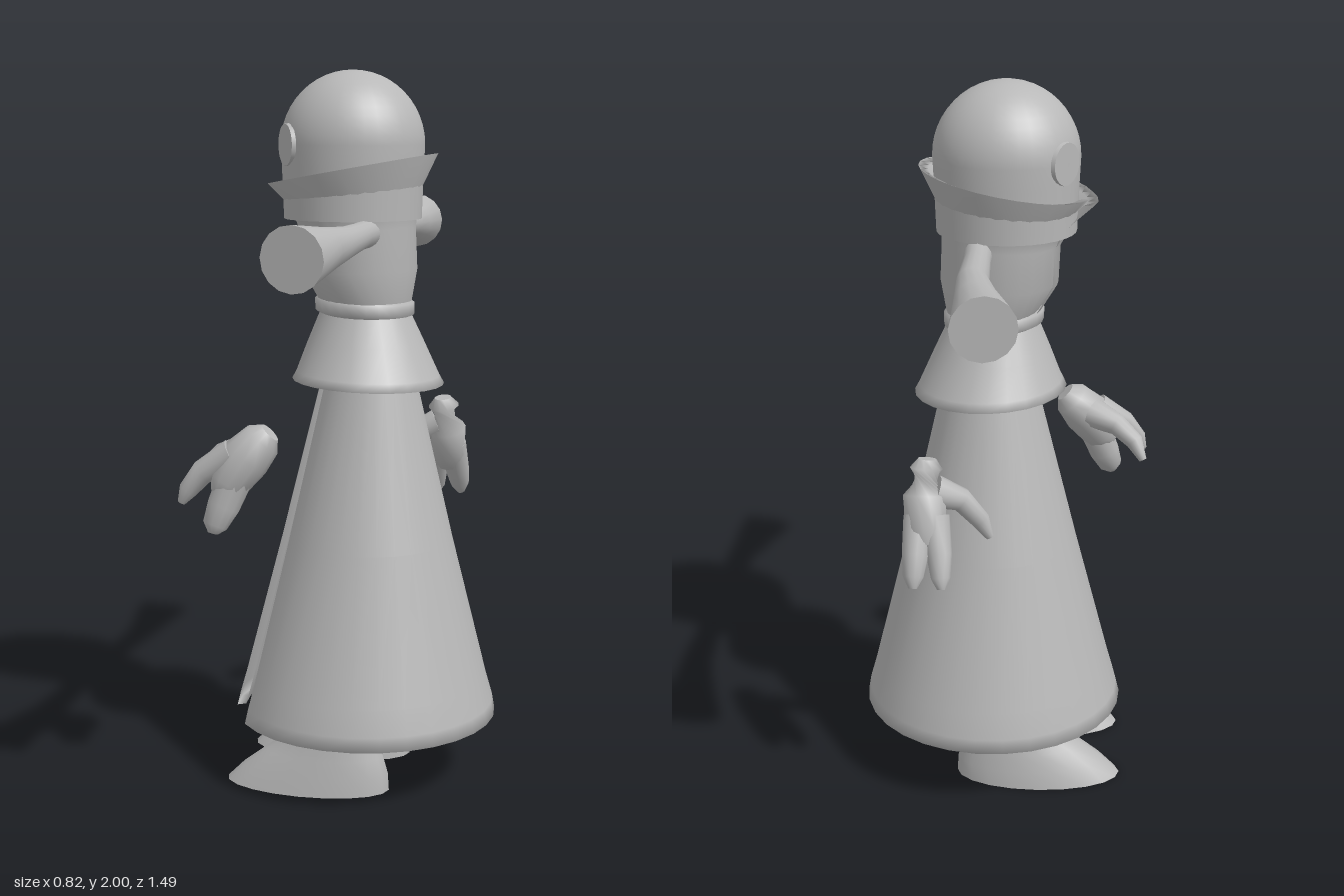
import * as THREE from 'three';

const grey = new THREE.MeshStandardMaterial({ color: 0xb8b8b8, side: THREE.DoubleSide });
grey.name = 'plain grey';
const V = (x, y, z) => new THREE.Vector3(x, y, z);

// Skin over rows of points; rows may wrap round, and ends may be capped.
function loft(rows, { wrap = true, start = null, end = null } = {}) {
  const n = rows[0].length, pos = [], idx = [];
  rows.forEach(r => r.forEach(p => pos.push(p.x, p.y, p.z)));
  for (let i = 0; i < rows.length - 1; i++) {
    for (let j = 0; j < (wrap ? n : n - 1); j++) {
      const a = i * n + j, b = i * n + (j + 1) % n;
      idx.push(a, b, a + n, b, b + n, a + n);
    }
  }
  const cap = (row, centre, flip) => {
    const base = pos.length / 3;
    [...row, centre].forEach(p => pos.push(p.x, p.y, p.z));
    for (let j = 0; j < n; j++) {
      const a = base + j, b = base + (j + 1) % n;
      idx.push(...(flip ? [b, a, base + n] : [a, b, base + n]));
    }
  };
  if (start) cap(rows[0], start, true);
  if (end) cap(rows[rows.length - 1], end, false);
  const g = new THREE.BufferGeometry();
  g.setAttribute('position', new THREE.Float32BufferAttribute(pos, 3));
  g.setIndex(idx);
  g.computeVertexNormals();
  return g;
}

// Level oval: [y, xMin, xMax, half depth, tilt, z centre]. Angle 0 points to -x, 90 to +z.
function oval([y, x0, x1, rz, tilt = 0, zc = 0], n, from = 0, to = 360, swell = () => 1) {
  const closed = to - from === 360, cx = (x0 + x1) / 2, rx = (x1 - x0) / 2;
  return Array.from({ length: closed ? n : n + 1 }, (_, i) => {
    const t = i / n, a = THREE.MathUtils.degToRad(from + (to - from) * t), k = swell(t);
    const x = cx - rx * k * Math.cos(a);
    return V(x, y + tilt * x, zc + rz * k * Math.sin(a));
  });
}

// Round limb through points [x, y, z, radius], closed at both ends.
function limb(pts, n = 12) {
  const c = pts.map(p => V(p[0], p[1], p[2]));
  const rows = pts.map((p, i) => {
    const d = c[Math.min(i + 1, c.length - 1)].clone().sub(c[Math.max(i - 1, 0)]).normalize();
    const u = V(0, 1, 0.3).cross(d).normalize(), v = d.clone().cross(u);
    return Array.from({ length: n }, (_, j) => {
      const a = j / n * Math.PI * 2;
      return c[i].clone().addScaledVector(u, p[3] * Math.cos(a)).addScaledVector(v, p[3] * Math.sin(a));
    });
  });
  return loft(rows, { start: c[0], end: c[c.length - 1] });
}

export function createModel() {
  const model = new THREE.Group();
  const add = (name, geometry, parent = model) => {
    const m = new THREE.Mesh(geometry, grey);
    m.name = name;
    parent.add(m);
    return m;
  };

  // Domed head
  const dome = [[0.19, 1.6], [0.195, 1.74]].map(p => new THREE.Vector2(...p));
  for (let i = 0; i <= 12; i++) {
    const a = i / 12 * Math.PI / 2;
    dome.push(new THREE.Vector2(0.198 * Math.cos(a), 1.8 + 0.2 * Math.sin(a)));
  }
  dome[dome.length - 1].x = 0;
  add('head', new THREE.LatheGeometry(dome, 32)).scale.z = 0.97;

  // Hood wrapped round the head, its free end flaring over the front
  const hood = [
    [1.375, -0.09, 0.165, 0.14, 0], [1.46, -0.14, 0.18, 0.165, 0.02],
    [1.57, -0.145, 0.175, 0.162, 0.05], [1.65, -0.17, 0.185, 0.175, 0.12],
    [1.735, -0.235, 0.235, 0.228, 0.18], [1.728, -0.207, 0.21, 0.205, 0.18],
    [1.65, -0.15, 0.17, 0.16, 0.12],
  ];
  add('hood', loft(hood.map((r, i) => oval(r, 28, -28, 345,
    t => 1 + (i > 2 ? 0.12 : 0.03) * Math.max(0, 1 - t / 0.1) - 0.03 * Math.max(0, (t - 0.9) / 0.1))), { wrap: false }));

  // Neck band
  add('neckBand', loft([
    [1.335, -0.08, 0.15, 0.125, -0.05], [1.345, -0.102, 0.172, 0.143, -0.05],
    [1.377, -0.104, 0.172, 0.143, -0.05], [1.385, -0.08, 0.15, 0.125, -0.05],
  ].map(r => oval(r, 24))));

  // Short cape with a turned-in hem
  add('cape', loft([
    [1.345, -0.09, 0.16, 0.125], [1.26, -0.125, 0.2, 0.165], [1.175, -0.155, 0.243, 0.21, -0.04],
    [1.152, -0.167, 0.256, 0.224, -0.04], [1.15, -0.145, 0.235, 0.205, -0.04],
    [1.19, -0.11, 0.2, 0.165], [1.3, -0.07, 0.15, 0.11],
  ].map(r => oval(r, 24))));

  // Long robe, open at the front, with a turned-in hem
  add('robe', loft([
    [1.2, -0.07, 0.165, 0.118], [1.14, -0.09, 0.183, 0.132], [0.7, -0.2, 0.285, 0.24],
    [0.3, -0.305, 0.385, 0.345], [0.23, -0.325, 0.405, 0.365], [0.19, -0.335, 0.412, 0.37],
    [0.193, -0.31, 0.387, 0.345], [0.3, -0.28, 0.36, 0.32], [1.14, -0.07, 0.165, 0.115],
  ].map(r => oval(r, 28, 37, 372)), { wrap: false }));

  for (const s of [1, -1]) {
    const side = s > 0 ? 'left' : 'right';

    // Eye discs set into the head
    const eye = add(side + 'Eye', new THREE.CylinderGeometry(0.056, 0.062, 0.03, 24));
    const out = V(-0.82, 0, 0.57 * s);
    eye.position.set(0, 1.8, 0).addScaledVector(out, 0.181);
    eye.quaternion.setFromUnitVectors(V(0, 1, 0), out);

    // Flared ears reaching out sideways
    add(side + 'Ear', limb([
      [0.07, 1.567, 0.1 * s, 0.038], [0.07, 1.566, 0.22 * s, 0.036], [0.072, 1.562, 0.4 * s, 0.042],
      [0.055, 1.556, 0.55 * s, 0.057], [0.03, 1.548, 0.735 * s, 0.082],
    ], 16));

    // Legs running down into pointed feet
    const zc = 0.145 * s;
    const foot = [
      [0, -0.335, 0.14, 0.108, 0, zc], [0.05, -0.285, 0.137, 0.1, 0, zc], [0.1, -0.22, 0.122, 0.09, 0, zc],
      [0.19, -0.1, 0.085, 0.072, 0, zc], [0.3, -0.05, 0.075, 0.06, 0, zc], [0.85, -0.035, 0.07, 0.05, 0, zc * 0.55],
    ];
    add(side + 'Leg', loft(foot.map(r => oval(r, 20)), { start: V(-0.1, 0, zc), end: V(0.02, 0.85, zc * 0.55) }));
  }

  // Floating hands: palm, two fingers and a thumb
  const hand = (name, parts) => {
    const g = new THREE.Group();
    g.name = name;
    for (const [part, pts] of Object.entries(parts)) add(part, limb(pts), g);
    model.add(g);
  };
  hand('leftHand', {
    palm: [[-0.165, 1.04, 0.265, 0.03], [-0.185, 1.02, 0.267, 0.055], [-0.23, 0.97, 0.28, 0.068],
      [-0.275, 0.9, 0.3, 0.055], [-0.295, 0.87, 0.308, 0.03]],
    innerFinger: [[-0.25, 0.93, 0.295, 0.05], [-0.285, 0.84, 0.31, 0.045], [-0.305, 0.79, 0.325, 0.035], [-0.31, 0.768, 0.33, 0.014]],
    outerFinger: [[-0.26, 0.98, 0.295, 0.045], [-0.345, 0.93, 0.305, 0.034], [-0.385, 0.88, 0.312, 0.026], [-0.403, 0.845, 0.315, 0.011]],
    thumb: [[-0.25, 0.98, 0.25, 0.045], [-0.32, 0.96, 0.205, 0.032], [-0.37, 0.92, 0.175, 0.026], [-0.395, 0.87, 0.155, 0.011]],
  });
  hand('rightHand', {
    palm: [[0.2, 1.055, -0.31, 0.025], [0.202, 1.03, -0.315, 0.045], [0.205, 0.96, -0.335, 0.06],
      [0.205, 0.88, -0.37, 0.055], [0.205, 0.84, -0.39, 0.035]],
    innerFinger: [[0.18, 0.91, -0.36, 0.042], [0.165, 0.82, -0.405, 0.034], [0.16, 0.765, -0.435, 0.026], [0.158, 0.738, -0.447, 0.011]],
    outerFinger: [[0.22, 0.91, -0.36, 0.042], [0.228, 0.82, -0.41, 0.036], [0.232, 0.77, -0.437, 0.028], [0.233, 0.742, -0.45, 0.012]],
    thumb: [[0.18, 0.97, -0.33, 0.045], [0.11, 0.94, -0.315, 0.032], [0.06, 0.88, -0.31, 0.026], [0.035, 0.83, -0.31, 0.011]],
  });

  return model;
}
